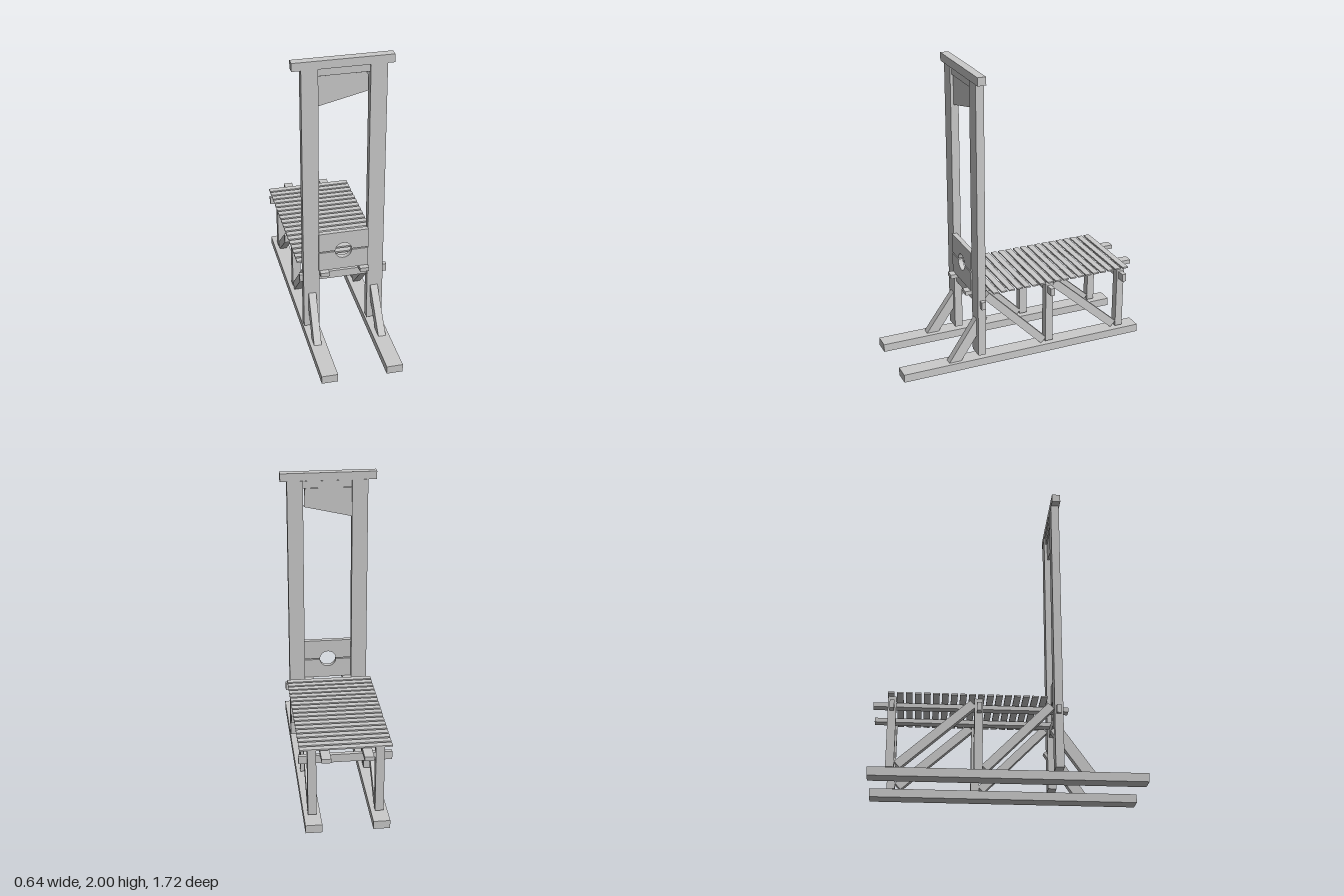
import * as THREE from 'three';

const material = new THREE.MeshStandardMaterial({ color: 0xcccccc, flatShading: true });

export function createModel() {
  const model = new THREE.Group();
  const MID = 0.007; // centre line between the two side frames

  const add = (name, geometry) => {
    const mesh = new THREE.Mesh(geometry, material);
    mesh.name = name;
    model.add(mesh);
    return mesh;
  };

  // Box given by its limits on each axis
  const block = (name, [x0, x1], [y0, y1], [z0, z1]) =>
    add(name, new THREE.BoxGeometry(x1 - x0, y1 - y0, z1 - z0))
      .position.set((x0 + x1) / 2, (y0 + y1) / 2, (z0 + z1) / 2);

  // Slanted timber running between two [y, z] points
  const strut = (name, x, width, depth, [y0, z0], [y1, z1]) => {
    const mesh = add(name, new THREE.BoxGeometry(width, Math.hypot(y1 - y0, z1 - z0), depth));
    mesh.position.set(x, (y0 + y1) / 2, (z0 + z1) / 2);
    mesh.rotation.x = Math.atan2(z1 - z0, y1 - y0);
    return mesh;
  };

  // Flat board cut from a shape, from z0 to z1
  const board = (name, shape, z0, z1) =>
    add(name, new THREE.ExtrudeGeometry(shape, { depth: z1 - z0, bevelEnabled: false, curveSegments: 20 }))
      .position.z = z0;

  // Side frames
  for (const [side, s] of [['left', 1], ['right', -1]]) {
    const span = (centre, width) => [MID + s * centre - width / 2, MID + s * centre + width / 2];
    const x = MID + s * 0.215;
    block(side + 'Runner', span(0.215, 0.107), [0, 0.055], [-0.86, 0.86]);
    block(side + 'Upright', span(0.216, 0.106), [0.08, 1.947], [0.286, 0.34]);
    block(side + 'BedRail', span(0.133, 0.06), [0.486, 0.514], [-0.845, 0.385]);
    block(side + 'MiddleLeg', span(0.215, 0.055), [0.065, 0.525], [-0.214, -0.161]);
    block(side + 'RearLeg', span(0.215, 0.055), [0.065, 0.525], [-0.752, -0.7]);
    strut(side + 'FrontDiagonal', x, 0.05, 0.053, [0.072, -0.148], [0.493, 0.268]);
    strut(side + 'RearDiagonal', x, 0.05, 0.055, [0.082, -0.682], [0.493, -0.223]);
    strut(side + 'FrontBrace', x, 0.05, 0.07, [0.035, 0.509], [0.35, 0.29]).rotation.z = s * 0.025;
  }

  // Top beam and blade assembly
  block('topBeam', [-0.32, 0.32], [1.946, 2], [0.288, 0.344]);
  block('bladeWeight', [-0.162, 0.168], [1.895, 1.943], [0.297, 0.33]);
  block('bladeHanger', [-0.1, 0.07], [1.885, 1.9], [0.306, 0.32]);
  board('blade', new THREE.Shape([
    new THREE.Vector2(-0.157, 1.692), new THREE.Vector2(0.163, 1.766),
    new THREE.Vector2(0.158, 1.89), new THREE.Vector2(-0.157, 1.89),
  ]), 0.306, 0.32);

  // Neck boards, each with half of the round opening
  const [hx, hy, r, gap] = [0.005, 0.651, 0.056, 0.004];
  const a = Math.asin(gap / r);
  for (const [name, s, edge] of [['upperNeckBoard', 1, 0.79], ['lowerNeckBoard', -1, 0.512]]) {
    const shape = new THREE.Shape();
    shape.moveTo(-0.16, edge);
    shape.lineTo(-0.16, hy + s * gap);
    shape.lineTo(hx - r * Math.cos(a), hy + s * gap);
    shape.absarc(hx, hy, r, s * (Math.PI - a), s * a, s > 0);
    shape.lineTo(0.172, hy + s * gap);
    shape.lineTo(0.172, edge);
    board(name, shape, 0.315, 0.348);
  }

  // Cross bars under the bed
  for (const [name, z] of [['frontCrossBar', 0.311], ['middleCrossBar', -0.186], ['rearCrossBar', -0.726]]) {
    block(name, [-0.285, 0.305], [0.43, 0.484], [z - 0.014, z + 0.014]);
  }

  // Bed slats
  for (let i = 0; i < 18; i++) {
    const z = -0.734 + i * 0.0561;
    block('bedSlat', [-0.285, 0.3], [0.526, 0.536], [z - 0.0205, z + 0.0205]);
  }

  return model;
}
